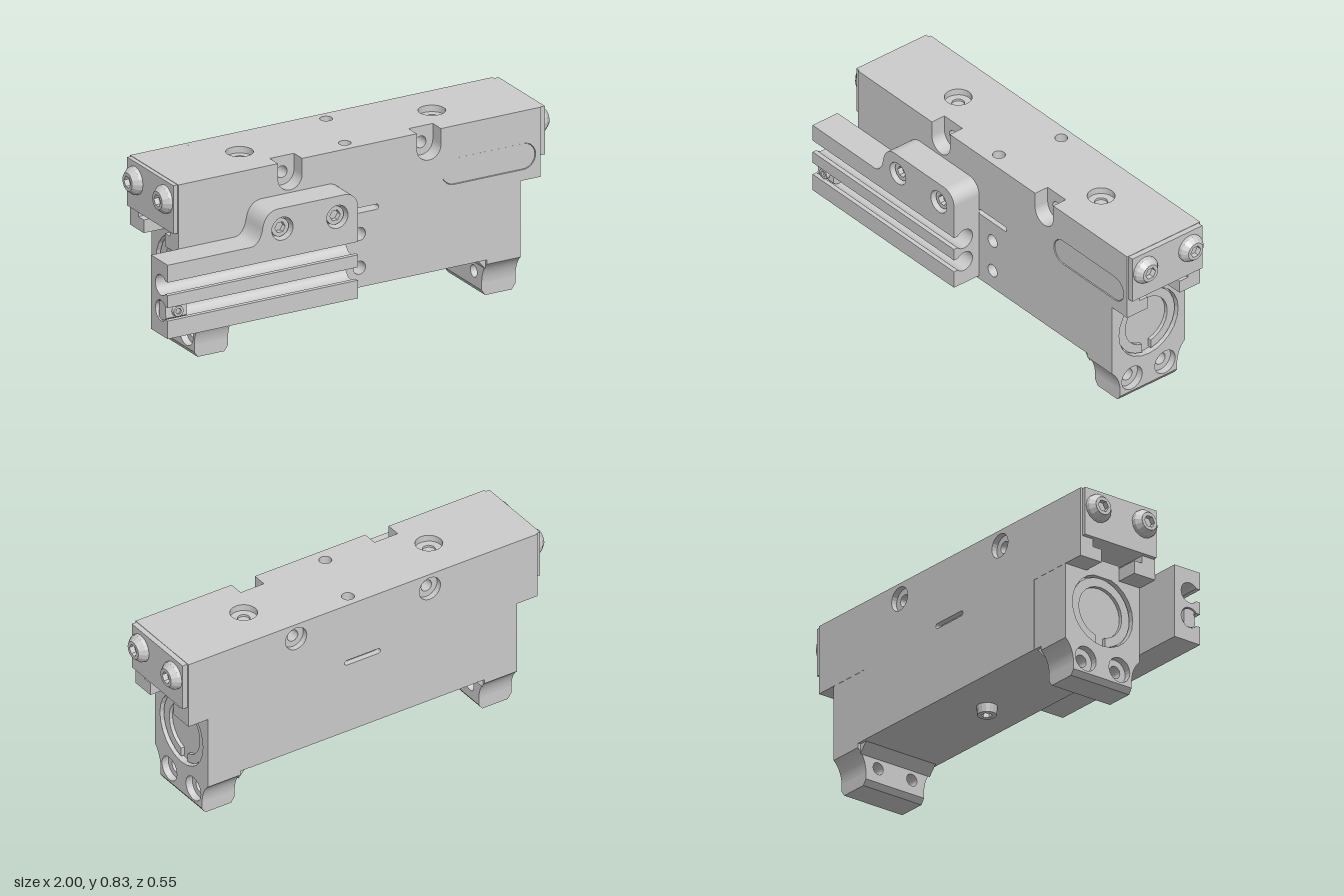
import * as THREE from 'three';

const CX = 0.0375, CZ = -0.068; // axes of symmetry of the main body
const mat = new THREE.MeshStandardMaterial({ color: 0xcccccc, flatShading: true, side: THREE.DoubleSide });

function mesh(name, geometry, parent) {
  const m = new THREE.Mesh(geometry, mat);
  m.name = name;
  parent.add(m);
  return m;
}
const poly = (pts) => new THREE.Shape(pts.map(([x, y]) => new THREE.Vector2(x, y)));
const rect = (x0, y0, x1, y1) => poly([[x0, y0], [x1, y0], [x1, y1], [x0, y1]]);
const circle = (x, y, r) => new THREE.Shape().absarc(x, y, r, 0, Math.PI * 2, false);
const hexagon = (r) => poly(Array.from({ length: 6 }, (_, i) => [r * Math.cos(i * Math.PI / 3), r * Math.sin(i * Math.PI / 3)]));
function pill(x0, y0, x1, y1) {
  const r = (y1 - y0) / 2, y = (y0 + y1) / 2;
  return new THREE.Shape().absarc(x1 - r, y, r, -Math.PI / 2, Math.PI / 2, false)
    .absarc(x0 + r, y, r, Math.PI / 2, Math.PI * 1.5, false);
}
function extrude(shape, depth, holes = []) {
  shape.holes.push(...holes);
  return new THREE.ExtrudeGeometry(shape, { depth, bevelEnabled: false, curveSegments: 12 });
}
// extrusions between two planes; for alongX the shape is drawn in (-z, y), for alongY in (x, -z)
const alongZ = (s, z0, z1, holes) => extrude(s, z1 - z0, holes).translate(0, 0, z0);
const alongX = (s, x0, x1, holes) => extrude(s, x1 - x0, holes).rotateY(Math.PI / 2).translate(x0, 0, 0);
const alongY = (s, y0, y1, holes) => extrude(s, y1 - y0, holes).rotateX(-Math.PI / 2).translate(0, y0, 0);
function box(x0, x1, y0, y1, z0, z1) {
  return new THREE.BoxGeometry(x1 - x0, y1 - y0, z1 - z0).translate((x0 + x1) / 2, (y0 + y1) / 2, (z0 + z1) / 2);
}

// screw head pointing along +z with a hexagonal socket
function screw(name, r, rTop, h, hex) {
  const g = new THREE.Group();
  g.name = name;
  const prof = [[r, 0], [r * 0.97, h * 0.4], [rTop, h]].map(([x, y]) => new THREE.Vector2(x, y));
  mesh('headRim', new THREE.LatheGeometry(prof, 16).rotateX(Math.PI / 2), g);
  mesh('headFace', alongZ(circle(0, 0, rTop), h * 0.4, h, [hexagon(hex)]), g);
  mesh('socketFloor', new THREE.CircleGeometry(rTop, 16).translate(0, 0, h * 0.4), g);
  return g;
}

// end block with foot, bore, retaining ring, end plate and screws, for the +x end
function endAssembly() {
  const g = new THREE.Group();
  const outline = () => new THREE.Shape().moveTo(-0.159, 0.025).lineTo(0.159, 0.025).lineTo(0.159, 0.06)
    .quadraticCurveTo(0.163, 0.125, 0.203, 0.16).lineTo(0.203, 0.51).lineTo(-0.203, 0.51).lineTo(-0.203, 0.16)
    .quadraticCurveTo(-0.163, 0.125, -0.159, 0.06).lineTo(-0.159, 0.025);
  const footHoles = (r) => [-0.092, 0.092].map((z) => circle(z, 0.092, r));
  mesh('endBlock', alongX(outline(), 0.63, 0.765, footHoles(0.028)), g);
  mesh('endBlockFace', alongX(outline(), 0.765, 0.7975, [...footHoles(0.057), circle(0, 0.343, 0.165)]), g);
  mesh('endBlockNeck', box(0.5775, 0.63, 0.18, 0.51, -0.203, 0.203), g);
  mesh('footGusset', alongZ(poly([[0.59, 0.18], [0.63, 0.135], [0.63, 0.18]]), -0.19, 0.19), g);
  mesh('footSole', alongZ(poly([[0.648, 0], [0.78, 0], [0.7975, 0.025], [0.63, 0.025]]), -0.159, 0.159), g);
  // C-shaped retaining ring with its gap at the bottom
  const a = Math.asin(0.025 / 0.158), b = Math.asin(0.025 / 0.117), down = -Math.PI / 2;
  const ring = new THREE.Shape().absarc(0, 0.343, 0.158, down + a, down + Math.PI * 2 - a, false)
    .absarc(0, 0.343, 0.117, down + Math.PI * 2 - b, down + b, true);
  mesh('retainingRing', alongX(ring, 0.76, 0.782), g);
  mesh('guideTongue', box(0.5, 0.7975, 0.5, 0.58, -0.09, 0.09), g);
  mesh('endPlate', box(0.8975, 0.9225, 0.605, 0.828, -0.195, 0.195), g);
  for (const z of [-0.126, 0.126]) {
    const s = screw('endPlateScrew', 0.064, 0.041, 0.04, 0.028);
    s.rotation.y = Math.PI / 2;
    s.position.set(0.9225, 0.744, z);
    g.add(s);
  }
  return g;
}

export function createModel() {
  const root = new THREE.Group();
  const X0 = -0.865, X1 = 0.935, M0 = -0.545, M1 = 0.62; // carriage and body extents
  const notchX = [-0.31, 0.38];

  // front wall: carriage side and body side in one, with U notches open at the top
  const front = new THREE.Shape().moveTo(M0, 0.18).lineTo(M1, 0.18).lineTo(M1, 0.51).lineTo(X1, 0.51).lineTo(X1, 0.79);
  for (const x of [...notchX].reverse()) {
    front.lineTo(x + 0.06, 0.79).lineTo(x + 0.06, 0.757).absarc(x, 0.757, 0.06, 0, -Math.PI, true).lineTo(x - 0.06, 0.79);
  }
  front.lineTo(X0, 0.79).lineTo(X0, 0.51).lineTo(M0, 0.51);
  const slit = () => pill(-0.055, 0.522, 0.13, 0.546);
  mesh('frontWall', alongZ(front, 0.065, 0.135,
    [circle(0.035, 0.425, 0.03), circle(0.035, 0.27, 0.03), slit(), pill(0.445, 0.56, 0.91, 0.68)]), root);
  mesh('namePlate', alongZ(pill(0.447, 0.562, 0.908, 0.678), 0.07, 0.131), root);

  // back wall with counterbored holes
  const back = poly([[M0, 0.18], [M1, 0.18], [M1, 0.51], [X1, 0.51], [X1, 0.83], [X0, 0.83], [X0, 0.51], [M0, 0.51]]);
  mesh('backWall', alongZ(back, -0.272, -0.245, [slit(), ...notchX.map((x) => circle(x, 0.757, 0.055))]), root);

  // carriage core, drilled through from front to back
  mesh('carriageCore', alongZ(rect(X0, 0.605, X1, 0.79), -0.245, 0.065, notchX.map((x) => circle(x, 0.757, 0.027))), root);
  mesh('bodyCore', box(M0, M1, 0.18, 0.605, -0.245, 0.065), root);

  // lips of the guide slot under the carriage
  mesh('frontGuideLip', box(X0, X1, 0.51, 0.57, 0.022, 0.065), root);
  mesh('backGuideLip', box(X0, X1, 0.51, 0.57, -0.245, -0.157), root);
  mesh('backGuideSide', box(X0, X1, 0.57, 0.605, -0.245, -0.203), root);

  // top plate with mounting holes, cut out above the notches
  const top = [[X0, 0.245], [X0, -0.135]];
  for (const x of notchX) top.push([x - 0.06, -0.135], [x - 0.06, -0.065], [x + 0.06, -0.065], [x + 0.06, -0.135]);
  top.push([X1, -0.135], [X1, 0.245]);
  const mountX = [-0.44, 0.515];
  mesh('topPlate', alongY(poly(top), 0.79, 0.83,
    [...mountX.map((x) => circle(x, 0.07, 0.06)), circle(0.075, 0.215, 0.028), circle(0, -0.07, 0.028)]), root);
  for (const x of mountX) mesh('mountSeat', alongY(circle(x, 0.07, 0.06), 0.79, 0.8, [circle(x, 0.07, 0.028)]), root);

  // matching ends, turned about the body's vertical axis
  for (const [name, turn] of [['leftEnd', 0], ['rightEnd', Math.PI]]) {
    const e = endAssembly();
    e.name = name;
    e.position.set(CX, 0, CZ);
    e.rotation.y = turn;
    root.add(e);
  }

  // plug screw under the body
  const plug = screw('bottomScrew', 0.046, 0.042, 0.04, 0.024);
  plug.rotation.x = Math.PI / 2;
  plug.position.set(0.035, 0.18, CZ);
  root.add(plug);

  // sensor rail with two round grooves open to the front
  const rail = new THREE.Group();
  rail.name = 'sensorRail';
  root.add(rail);
  const open = Math.PI - Math.asin(0.03 / 0.047);
  const section = new THREE.Shape().moveTo(-0.135, 0.195).lineTo(-0.135, 0.535).lineTo(-0.275, 0.535);
  for (const y of [0.425, 0.308]) {
    section.lineTo(-0.275, y + 0.03).absarc(-0.218, y, 0.047, open, -open, true).lineTo(-0.275, y - 0.03);
  }
  section.lineTo(-0.275, 0.195);
  mesh('railBar', alongX(section, -1, -0.055), rail);

  // raised flange with rounded corners and recessed screws
  const screwX = [-0.43, -0.157];
  const flange = new THREE.Shape().moveTo(-0.585, 0.535).lineTo(-0.055, 0.535).lineTo(-0.055, 0.62)
    .absarc(-0.12, 0.62, 0.065, 0, Math.PI / 2, false).lineTo(-0.455, 0.685)
    .quadraticCurveTo(-0.515, 0.68, -0.528, 0.61).quadraticCurveTo(-0.54, 0.54, -0.585, 0.535);
  mesh('flange', alongZ(flange, 0.135, 0.275, screwX.map((x) => circle(x, 0.59, 0.053))), rail);
  for (const x of screwX) {
    mesh('screwSeat', alongZ(circle(x, 0.59, 0.053), 0.135, 0.215), rail);
    const s = screw('flangeScrew', 0.046, 0.042, 0.04, 0.026);
    s.position.set(x, 0.59, 0.215);
    rail.add(s);
  }

  // sensor held in the lower groove
  const flats = new THREE.Shape().absarc(-0.218, 0.308, 0.043, 0.9, Math.PI - 0.9, false)
    .lineTo(-0.251, 0.28).absarc(-0.218, 0.308, 0.043, Math.PI + 0.9, Math.PI * 2 - 0.9, false);
  mesh('sensor', alongX(flats, -0.995, -0.89), rail);
  const s = screw('sensorScrew', 0.026, 0.024, 0.016, 0.014);
  s.position.set(-0.94, 0.308, 0.25);
  rail.add(s);

  return root;
}
